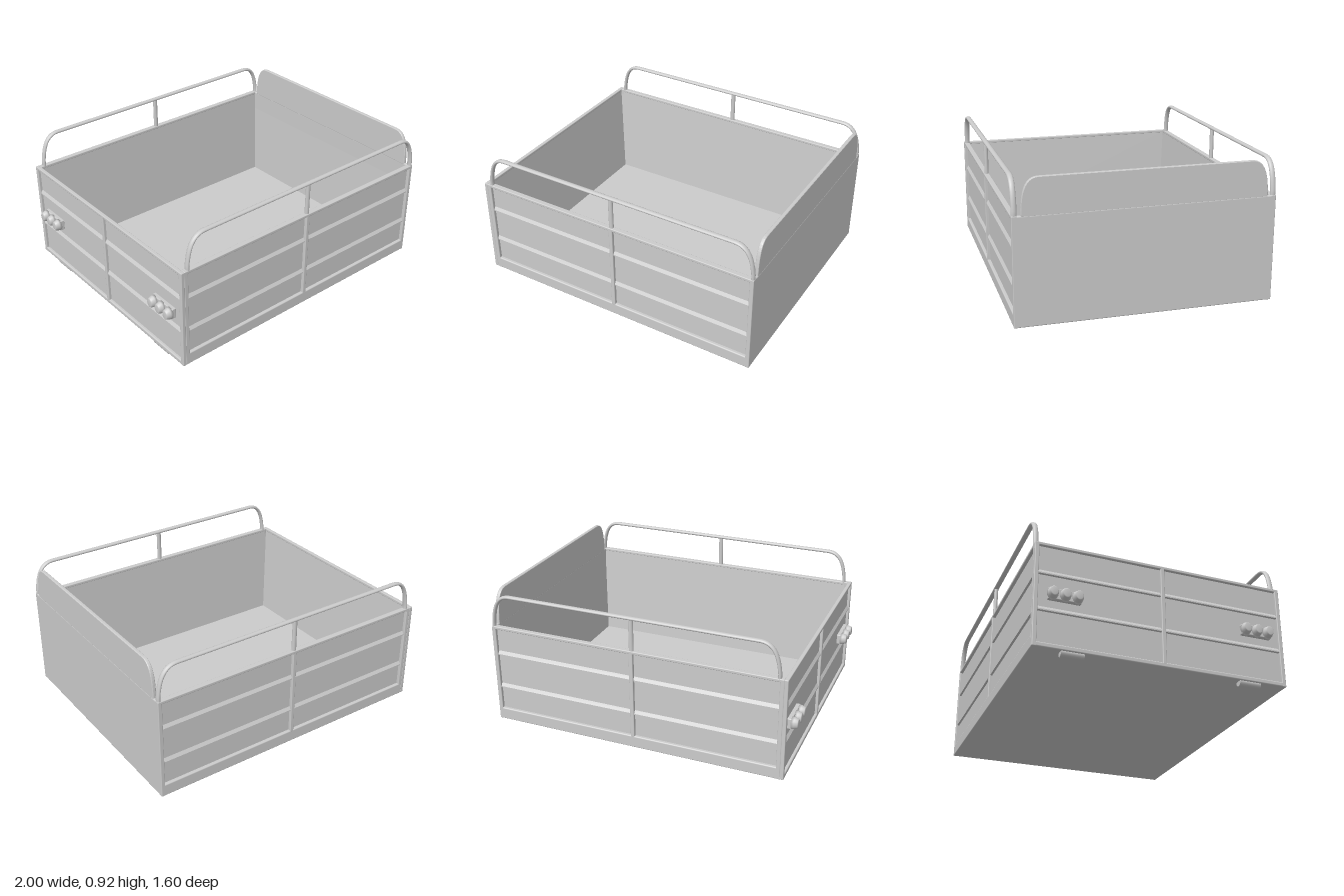
import * as THREE from 'three';
import { RoundedBoxGeometry } from 'three/addons/geometries/RoundedBoxGeometry.js';

const grey = new THREE.MeshStandardMaterial({ color: 0xcccccc });
const greyBoth = new THREE.MeshStandardMaterial({ color: 0xcccccc, side: THREE.DoubleSide });

function add(parent, name, geometry, x = 0, y = 0, z = 0, material = grey) {
  const mesh = new THREE.Mesh(geometry, material);
  mesh.name = name;
  mesh.position.set(x, y, z);
  parent.add(mesh);
  return mesh;
}

// Rounded bar given by its limits on each axis
function bar(parent, name, [x0, x1], [y0, y1], [z0, z1], r = 0.005) {
  return add(parent, name, new RoundedBoxGeometry(x1 - x0, y1 - y0, z1 - z0, 2, r),
    (x0 + x1) / 2, (y0 + y1) / 2, (z0 + z1) / 2);
}

// Open tub with sloping inner walls: rings run outside bottom, outside top, inside top, floor
function tubGeometry() {
  const rings = [
    [-0.935, 0.99, 0.78, 0.035],
    [-0.935, 0.99, 0.78, 0.695],
    [-0.93, 0.98, 0.768, 0.695],
    [-0.89, 0.96, 0.73, 0.05],
  ].map(([x0, x1, z, y]) => [[x0, y, z], [x1, y, z], [x1, y, -z], [x0, y, -z]]);
  const pos = [];
  const quad = (a, b, c, d) => pos.push(...a, ...b, ...c, ...a, ...c, ...d);
  for (let i = 0; i < 3; i++) {
    for (let k = 0; k < 4; k++) {
      const n = (k + 1) % 4;
      quad(rings[i][k], rings[i][n], rings[i + 1][n], rings[i + 1][k]);
    }
  }
  quad(...rings[3]);
  quad(...[...rings[0]].reverse());
  const g = new THREE.BufferGeometry();
  g.setAttribute('position', new THREE.Float32BufferAttribute(pos, 3));
  g.computeVertexNormals();
  return g;
}

// Wedge-shaped pressing along x, sticking out towards +z
function ribGeometry(length) {
  const s = new THREE.Shape();
  s.moveTo(-0.005, -0.018);
  s.lineTo(0.013, -0.014);
  s.lineTo(0.013, -0.006);
  s.lineTo(-0.005, 0.022);
  const g = new THREE.ExtrudeGeometry(s, { depth: length, bevelEnabled: false });
  g.translate(0, 0, -length / 2);
  g.rotateY(-Math.PI / 2);
  return g;
}

// Framed wall facing +z: rails, posts, middle bar and ribs
function framedWall(name, x0, x1, mid, panelZ, faceZ, sill, inner) {
  const wall = new THREE.Group();
  wall.name = name;
  const depth = [inner, faceZ];
  bar(wall, 'topRail', [x0, x1], [0.68, 0.7], depth);
  bar(wall, 'bottomRail', [x0, x1], [0.03, sill], depth, 0.008);
  bar(wall, 'endPost', [x0, x0 + 0.027], [0.03, 0.7], depth);
  bar(wall, 'endPost', [x1 - 0.027, x1], [0.03, 0.7], depth);
  bar(wall, 'middleBar', [mid - 0.013, mid + 0.013], [sill - 0.01, 0.69], [panelZ - 0.005, faceZ]);
  for (const y of [0.51, 0.275]) {
    add(wall, 'rib', ribGeometry(x1 - x0 - 0.05), (x0 + x1) / 2, y, panelZ);
  }
  return wall;
}

// Flattened bent tube on top of a side wall, with a centre support
function handRail(z) {
  const rail = new THREE.Group();
  rail.name = 'handRail';
  const path = new THREE.CurvePath();
  const v = (x, y) => new THREE.Vector3(x, y, 0);
  path.add(new THREE.LineCurve3(v(-0.898, 0.69), v(-0.898, 0.72)));
  path.add(new THREE.CubicBezierCurve3(v(-0.898, 0.72), v(-0.885, 0.85), v(-0.85, 0.91), v(-0.77, 0.91)));
  path.add(new THREE.LineCurve3(v(-0.77, 0.91), v(0.86, 0.91)));
  path.add(new THREE.CubicBezierCurve3(v(0.86, 0.91), v(0.94, 0.91), v(0.975, 0.85), v(0.988, 0.72)));
  path.add(new THREE.LineCurve3(v(0.988, 0.72), v(0.988, 0.69)));
  const tube = add(rail, 'railTube', new THREE.TubeGeometry(path, 120, 0.011, 12), 0, 0, z);
  tube.scale.z = 1.55;
  const post = add(rail, 'railPost', new THREE.CylinderGeometry(0.015, 0.015, 0.22, 12), 0.03, 0.8, z);
  post.scale.z = 0.9;
  return rail;
}

// Raised board with swept corners above the plain end wall
function headboardGeometry() {
  const s = new THREE.Shape();
  s.moveTo(-0.742, 0.695);
  s.lineTo(0.742, 0.695);
  s.bezierCurveTo(0.74, 0.82, 0.72, 0.915, 0.64, 0.915);
  s.lineTo(-0.64, 0.915);
  s.bezierCurveTo(-0.72, 0.915, -0.74, 0.82, -0.742, 0.695);
  const g = new THREE.ExtrudeGeometry(s, {
    depth: 0.01, bevelThickness: 0.007, bevelSize: 0.005, bevelSegments: 3, curveSegments: 12,
  });
  g.rotateY(Math.PI / 2);
  return g;
}

// Three cup-shaped lamps on a backing plate, pointing to -x
function lampCluster(side) {
  const lamps = new THREE.Group();
  lamps.name = 'lampCluster';
  bar(lamps, 'lampPlate', [-0.962, -0.932], [0.335, 0.405], [-0.1, 0.1], 0.006);
  const profile = [[0, 0], [0.04, 0], [0.038, 0.016], [0.03, 0.038], [0.024, 0.042], [0, 0.042]]
    .map(([r, h]) => new THREE.Vector2(r, h));
  for (const z of [-0.075, 0, 0.075]) {
    const lamp = add(lamps, 'lamp', new THREE.LatheGeometry(profile, 20), -0.958, 0.37, z, greyBoth);
    lamp.rotation.z = Math.PI / 2;
    lamp.scale.z = 0.85;
  }
  lamps.position.z = side * 0.615;
  return lamps;
}

export function createModel() {
  const model = new THREE.Group();
  model.name = 'cargoBed';

  add(model, 'tub', tubGeometry());
  bar(model, 'floorPan', [-0.945, 1], [0.03, 0.048], [-0.8, 0.8], 0.007);

  // Side walls and tailgate share the same framed construction
  model.add(framedWall('leftSideWall', -0.93, 1, 0.03, 0.78, 0.8, 0.11, 0.766));
  const back = framedWall('rightSideWall', -1, 0.93, -0.03, 0.78, 0.8, 0.11, 0.766);
  back.rotation.y = Math.PI;
  model.add(back);
  const tailgate = framedWall('tailgate', -0.8, 0.8, 0, 0.935, 0.953, 0.06, 0.928);
  tailgate.rotation.y = -Math.PI / 2;
  model.add(tailgate);

  // Plain end wall and headboard
  bar(model, 'endWall', [0.976, 1], [0.03, 0.7], [-0.8, 0.8], 0.01);
  add(model, 'headboard', headboardGeometry(), 0.982, 0, 0);

  for (const side of [-1, 1]) {
    model.add(handRail(side * 0.782));
    model.add(lampCluster(side));
    // Tailgate hinge barrel
    const hinge = add(model, 'hinge', new THREE.CylinderGeometry(0.024, 0.024, 0.14, 16), -0.922, 0.024, side * 0.558);
    hinge.rotation.x = Math.PI / 2;
  }
  return model;
}
